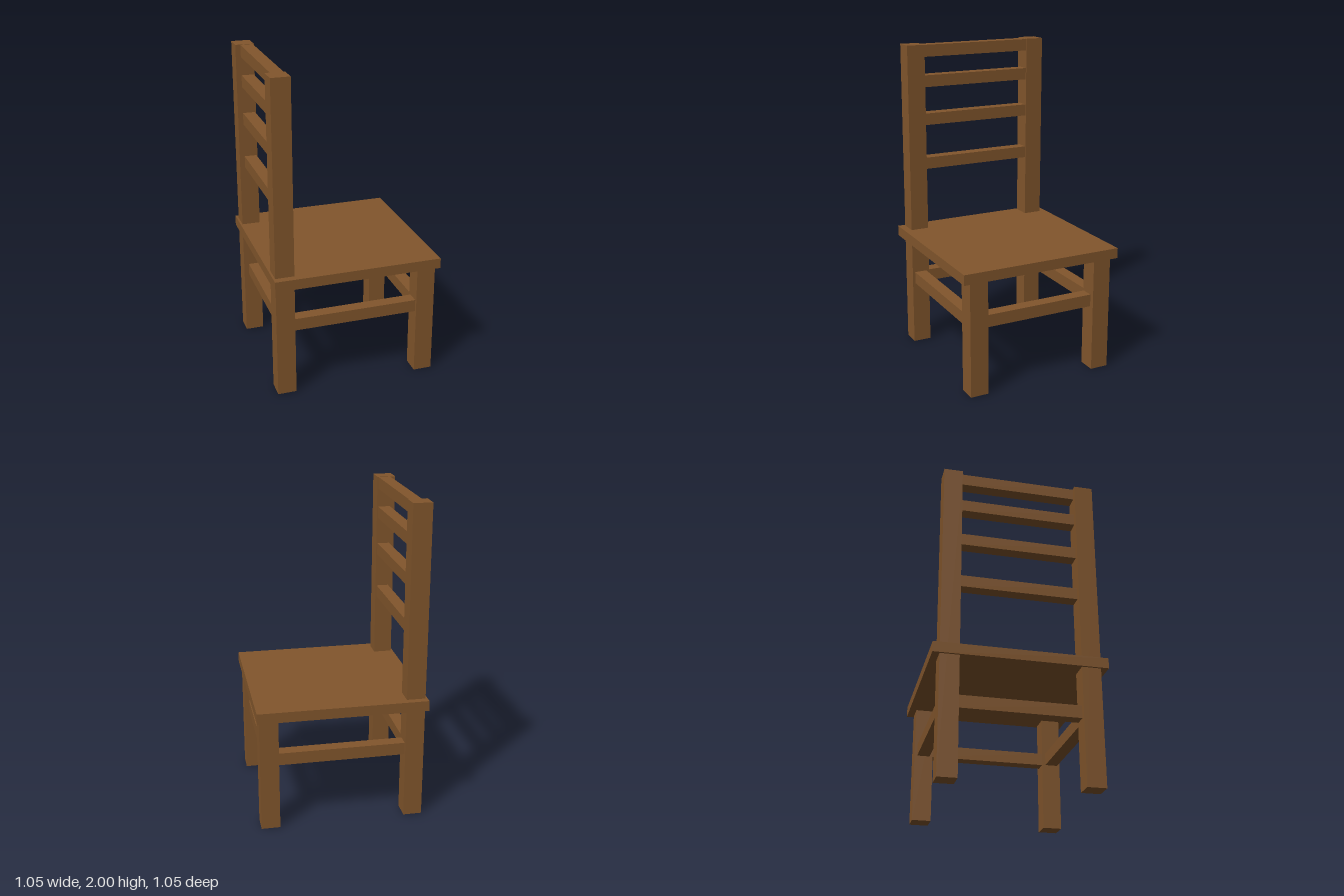
import * as THREE from 'three';

export function createModel() {
  const chair = new THREE.Group();
  chair.name = 'chair';
  const wood = new THREE.MeshStandardMaterial({ color: 0x82562c });
  wood.name = 'brown wood';

  // Box given by its [min, max] extents on each axis
  function beam(name, [x0, x1], [y0, y1], [z0, z1]) {
    const mesh = new THREE.Mesh(new THREE.BoxGeometry(x1 - x0, y1 - y0, z1 - z0), wood);
    mesh.name = name;
    mesh.position.set((x0 + x1) / 2, (y0 + y1) / 2, (z0 + z1) / 2);
    chair.add(mesh);
    return mesh;
  }

  // Seat board
  beam('seat', [-0.525, 0.525], [0.73, 0.795], [-0.525, 0.525]);

  for (const side of [1, -1]) {
    const span = (a, b) => (side > 0 ? [a, b] : [-b, -a]);
    // Tall back post, leaning very slightly sideways
    const post = beam('backPost', [-0.512, -0.395], [0.001, 1.999], span(0.364, 0.481));
    post.rotation.x = -0.0035;
    post.position.z -= 0.002;
    // Front leg and side stretcher
    beam('frontLeg', [0.392, 0.509], [0, 0.74], span(0.364, 0.481));
    beam('sideStretcher', [-0.42, 0.42], [0.42, 0.498], span(0.385, 0.464));
  }

  // Front and back stretchers
  beam('frontStretcher', [0.398, 0.478], [0.42, 0.498], [-0.39, 0.39]);
  beam('backStretcher', [-0.48, -0.402], [0.42, 0.498], [-0.39, 0.39]);

  // Backrest slats
  for (const y of [1.195, 1.485, 1.73, 1.922]) {
    beam('backSlat', [-0.48, -0.402], [y, y + 0.075], [-0.39, 0.39]);
  }
  return chair;
}
